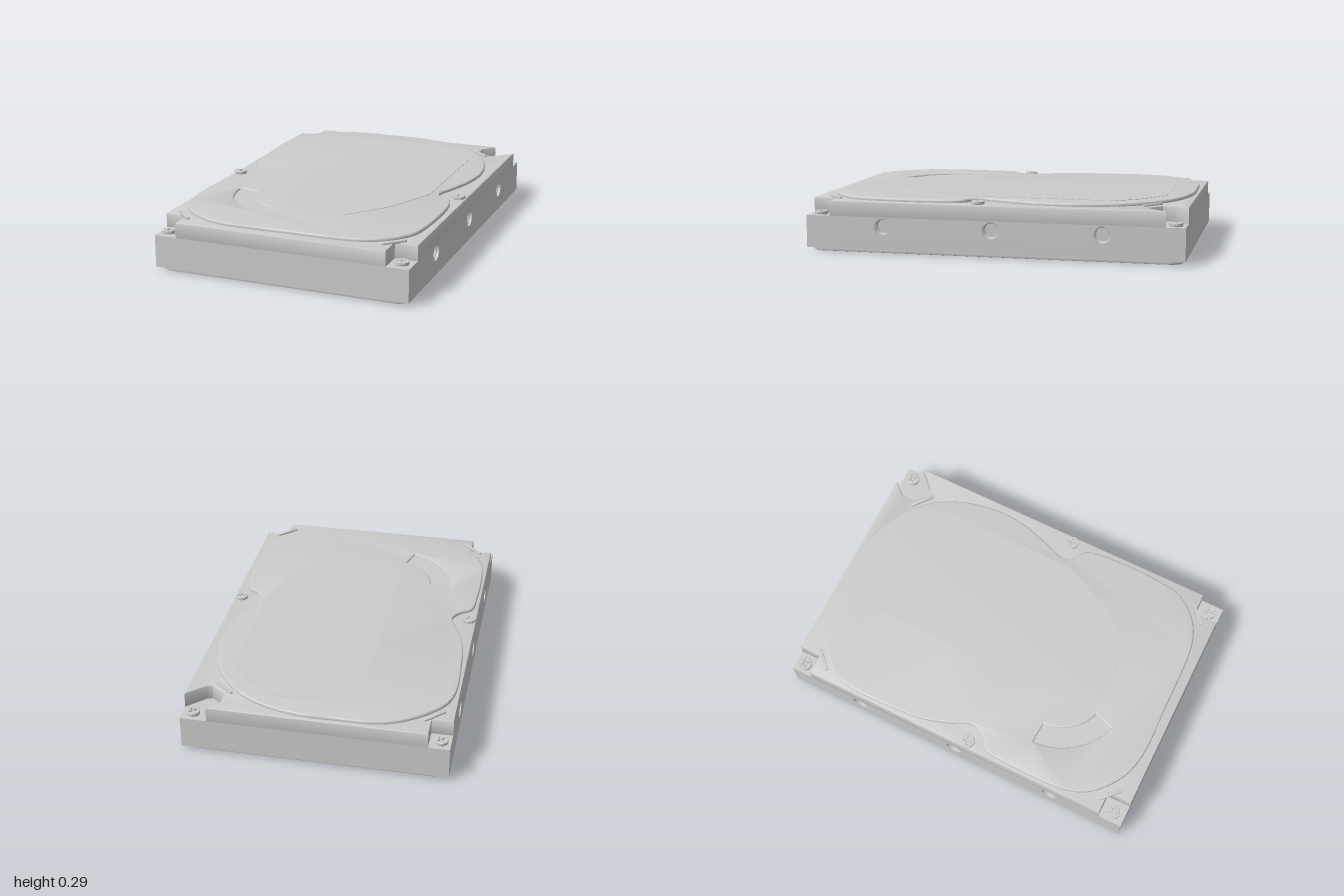
import * as THREE from 'three';
import { toCreasedNormals } from 'three/addons/utils/BufferGeometryUtils.js';

const mat = new THREE.MeshStandardMaterial({ color: 0xcccccc });

function add(parent, name, geo, x = 0, y = 0, z = 0) {
  const m = new THREE.Mesh(geo, mat);
  m.name = name;
  m.position.set(x, y, z);
  parent.add(m);
  return m;
}

// plan points are [x, z]; shapes use y = -z so they can be laid flat
const plan = (pts) => pts.map(([x, z]) => new THREE.Vector2(x, -z));

// upright slab from y0 to y1, with an inset rounded rim
function slab(shape, y0, y1, bevel = 0, segs = 2) {
  const g = new THREE.ExtrudeGeometry(shape, {
    depth: y1 - y0 - 2 * bevel, bevelEnabled: bevel > 0, bevelSize: bevel,
    bevelThickness: bevel, bevelOffset: -bevel, bevelSegments: segs, curveSegments: 20,
  });
  g.rotateX(-Math.PI / 2);
  g.translate(0, y0 + bevel, 0);
  return toCreasedNormals(g, 0.6);
}

function roundedRect(w, d, r) {
  const s = new THREE.Shape();
  s.absarc(w - r, d - r, r, 0, Math.PI / 2);
  s.absarc(-w + r, d - r, r, Math.PI / 2, Math.PI);
  s.absarc(-w + r, -d + r, r, Math.PI, Math.PI * 1.5);
  s.absarc(w - r, -d + r, r, Math.PI * 1.5, Math.PI * 2);
  s.closePath();
  return s;
}

// curved pocket near the front left of the cover
function pocket(Type, grow = 0) {
  const s = new Type();
  s.absarc(-0.13, -0.38, 0.37 + grow, Math.PI + 0.02, Math.PI + 1.25, false);
  s.absarc(-0.13, -0.38, 0.26 - grow, Math.PI + 1.25, Math.PI + 0.06, true);
  s.closePath();
  return s;
}

function addScrew(parent, x, y, z, turn) {
  const screw = new THREE.Group();
  screw.name = 'screw';
  screw.position.set(x, y, z);
  screw.rotation.y = turn;
  // head with a cross-shaped drive recess
  const head = new THREE.Shape().absarc(0, 0, 0.035, 0, Math.PI * 2);
  const a = 0.005, b = 0.023;
  head.holes.push(new THREE.Path([[a, a], [a, b], [-a, b], [-a, a], [-b, a], [-b, -a],
    [-a, -a], [-a, -b], [a, -b], [a, -a], [b, -a], [b, a]].map((p) => new THREE.Vector2(...p))));
  add(screw, 'screwHead', slab(head, 0.004, 0.019, 0.002, 1));
  add(screw, 'screwBase', new THREE.CylinderGeometry(0.033, 0.033, 0.008, 24), 0, 0.004, 0);
  parent.add(screw);
}

export function createModel() {
  const root = new THREE.Group();
  root.name = 'hardDrive';

  // bottom plate
  add(root, 'bottomPlate', slab(roundedRect(0.675, 0.985, 0.07), 0, 0.024, 0.004));

  // lower body: core plus side walls with mounting holes
  add(root, 'bodyCore', new THREE.BoxGeometry(1.26, 0.172, 2), 0, 0.104, 0);
  const wall = new THREE.Shape([[-1, 0.018], [1, 0.018], [1, 0.19], [-1, 0.19]]
    .map((p) => new THREE.Vector2(...p)));
  const holeZ = [-0.58, 0, 0.58];
  for (const z of holeZ) wall.holes.push(new THREE.Path().absarc(z, 0.14, 0.044, 0, Math.PI * 2));
  const wallGeo = toCreasedNormals(
    new THREE.ExtrudeGeometry(wall, { depth: 0.06, bevelEnabled: false, curveSegments: 20 })
      .rotateY(Math.PI / 2), 0.6);
  const thread = new THREE.TorusGeometry(0.043, 0.005, 6, 28).rotateY(Math.PI / 2);
  for (const s of [1, -1]) {
    add(root, 'sideWall', wallGeo, s > 0 ? 0.63 : -0.69, 0, 0);
    for (const z of holeZ)
      for (const x of [0.645, 0.659, 0.673]) add(root, 'holeThread', thread, s * x, 0.14, z);
  }

  // upper body with stepped corners
  const upper = new THREE.Shape(plan([
    [-0.57, 1], [0.57, 1], [0.57, 0.87], [0.69, 0.87], [0.69, -0.9], [0.6, -0.81], [0.57, -0.8],
    [0.49, -0.86], [0.49, -0.93], [0.55, -1], [-0.58, -1], [-0.58, -0.88], [-0.69, -0.88],
    [-0.69, 0.87], [-0.57, 0.87]]));
  add(root, 'upperBody', slab(upper, 0.182, 0.272, 0.008));

  // raised cover with a waist at the middle screws
  const outline = new THREE.CatmullRomCurve3([
    [-0.12, -0.98], [-0.35, -0.965], [-0.5, -0.89], [-0.63, -0.76], [-0.668, -0.65],
    [-0.668, -0.4], [-0.65, -0.2], [-0.6, -0.04], [-0.56, 0.06], [-0.59, 0.125], [-0.655, 0.18],
    [-0.67, 0.3], [-0.66, 0.66], [-0.61, 0.78], [-0.47, 0.9], [-0.32, 0.947], [0, 0.947],
    [0.38, 0.932], [0.51, 0.88], [0.62, 0.76], [0.65, 0.62], [0.65, 0.25], [0.62, 0.16],
    [0.56, 0.12], [0.54, 0.06], [0.57, -0.03], [0.62, -0.19], [0.64, -0.35], [0.62, -0.52],
    [0.56, -0.68], [0.45, -0.82], [0.3, -0.92], [0.1, -0.975],
  ].map(([x, z]) => new THREE.Vector3(x, -z, 0)), true);
  const cover = new THREE.Shape(outline.getPoints(160).slice(0, -1)
    .map((p) => new THREE.Vector2(p.x, p.y)));
  cover.holes.push(pocket(THREE.Path));
  add(root, 'cover', slab(cover, 0.264, 0.289, 0.008, 3));
  add(root, 'coverPocketFloor', slab(pocket(THREE.Shape, 0.01), 0.266, 0.28));

  // shallow panel that fades into the cover on its left
  const panel = new THREE.Shape(plan([
    [-0.2, -0.85], [0.25, -0.85], [0.4, -0.74], [0.5, -0.62], [0.5, 0.12], [0.38, 0.4],
    [0.2, 0.62], [-0.12, 0.62], [-0.2, 0.5], [-0.2, -0.1]]));
  add(root, 'coverPanel', slab(panel, 0.278, 0.289), 0, 0.0006, 0).rotation.z = 0.003;

  // diagonal ribs beside the corners
  const rib = slab(roundedRect(0.068, 0.009, 0.008), 0, 0.014, 0.002);
  for (const [x, z, turn] of [[-0.59, -0.85, 0.78], [0.505, -0.81, -0.68],
    [-0.58, 0.88, -0.78], [0.57, 0.88, 0.78]])
    add(root, 'cornerRib', rib, x, 0.268, z).rotation.y = turn;

  // corner screws on the steps, middle screws on the rim
  for (const x of [-0.64, 0.633]) {
    addScrew(root, x, 0.19, 0.935, 0.3);
    addScrew(root, x, 0.19, -0.945, 0.7);
  }
  for (const x of [-0.652, 0.648]) addScrew(root, x, 0.27, 0.075, 0.2);

  return root;
}
